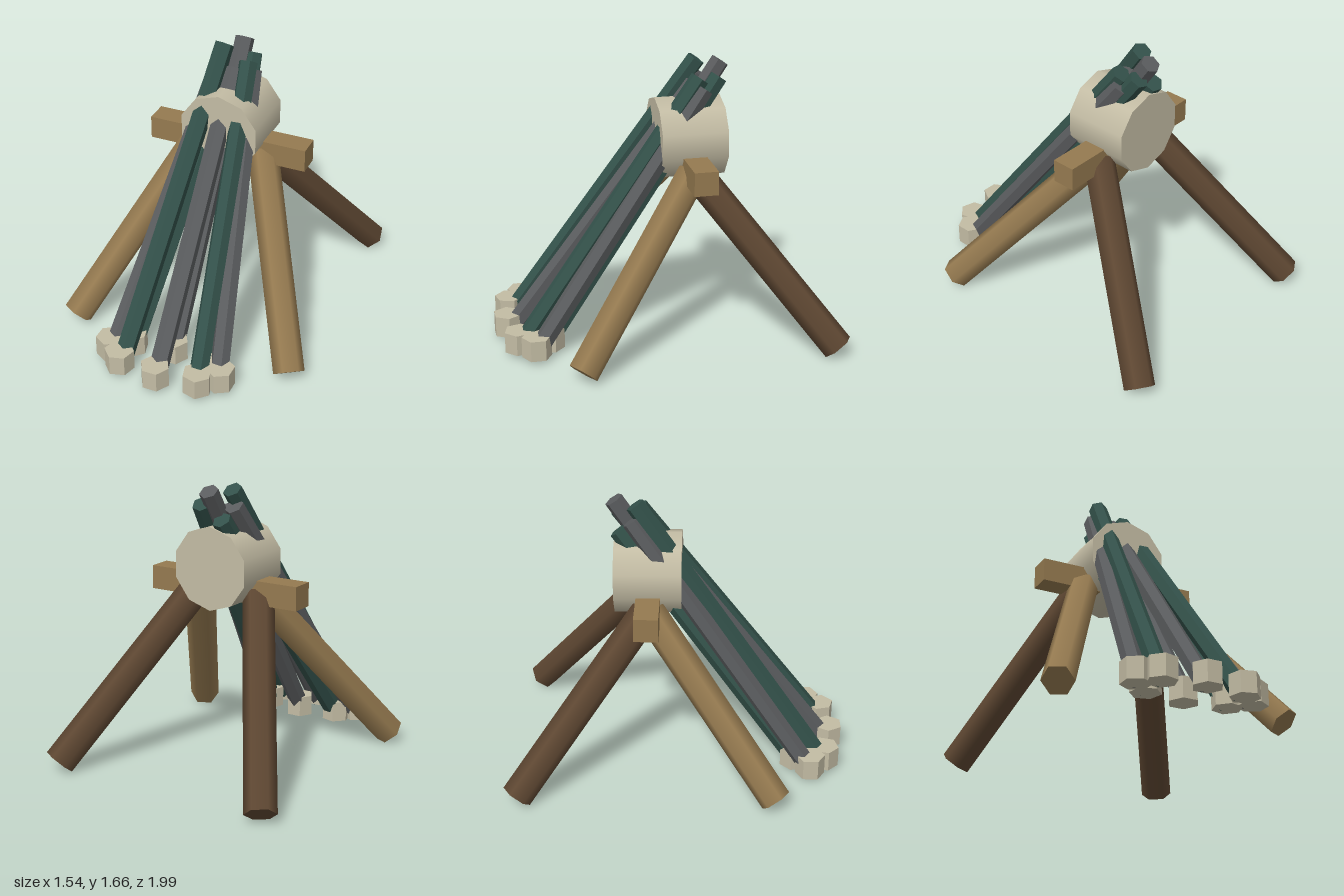
import * as THREE from 'three';

const material = (name, color, flatShading = false) => {
  const m = new THREE.MeshStandardMaterial({ color, flatShading });
  m.name = name;
  return m;
};

export function createModel() {
  const group = new THREE.Group();
  const wood = material('wood', 0x957a50);
  const darkWood = material('darkWood', 0x5e4732);
  const stone = material('paleStone', 0xc3bca4);
  const teal = material('darkTeal', 0x33514a, true);
  const gray = material('slateGray', 0x5a5c5e, true);

  const add = (name, geometry, mat, x = 0, y = 0, z = 0) => {
    const mesh = new THREE.Mesh(geometry, mat);
    mesh.name = name;
    mesh.position.set(x, y, z);
    group.add(mesh);
    return mesh;
  };

  // Six-sided bar from point a to point b, rolled about its own axis
  const bar = (name, a, b, radius, mat, roll = 0) => {
    const start = new THREE.Vector3(...a), end = new THREE.Vector3(...b);
    const dir = end.clone().sub(start);
    const geometry = new THREE.CylinderGeometry(radius, radius, dir.length(), 6);
    geometry.rotateY(roll);
    const mesh = add(name, geometry, mat);
    mesh.position.copy(start).add(end).multiplyScalar(0.5);
    mesh.quaternion.setFromUnitVectors(new THREE.Vector3(0, 1, 0), dir.normalize());
  };

  // Drum lying along z, and the crossbeam through it
  const drum = new THREE.CylinderGeometry(0.245, 0.245, 0.39, 10);
  drum.rotateX(Math.PI / 2);
  add('drum', drum, stone, 0, 1.195, -0.178);
  add('crossbeam', new THREE.BoxGeometry(0.99, 0.14, 0.14), wood, 0, 1.06, -0.175);

  // Four splayed legs, the back pair in darker wood
  for (const sx of [-1, 1]) {
    for (const sz of [-1, 1]) {
      bar(sz > 0 ? 'frontLeg' : 'backLeg',
        [sx * 0.69, 0.065, -0.175 + sz * 0.75],
        [sx * 0.21, 1.03, -0.175 + sz * 0.01], 0.092, sz > 0 ? wood : darkWood);
    }
  }

  // Eight pipes fanning from an oval of feet, starting at the front: upper end and roll
  const pipeTops = [
    [0, 1.51, -0.22, 0],
    [0.08, 1.56, -0.235, Math.PI / 6],
    [0.1, 1.5, -0.255, Math.PI / 6],
    [0.065, 1.56, -0.35, 0.3],
    [0, 1.64, -0.375, 0],
    [-0.065, 1.48, -0.345, 0.3],
    [-0.1, 1.55, -0.27, 0],
    [-0.075, 1.64, -0.25, 0],
  ];
  pipeTops.forEach(([x, y, z, roll], i) => {
    const angle = i * Math.PI / 4;
    const sin = Math.sin(angle), cos = Math.cos(angle);
    bar('pipe', [0.338 * sin, 0.06, 0.785 + 0.11 * cos], [x, y, z], 0.057, i % 2 ? teal : gray, roll);
    // Faceted foot block
    const foot = new THREE.CylinderGeometry(0.0875, 0.0875, 0.125, 6).toNonIndexed();
    foot.rotateY(angle + Math.PI / 6);
    foot.computeVertexNormals();
    add('pipeFoot', foot, stone, 0.35 * sin, 0.0925, 0.79 + 0.128 * cos);
  });

  return group;
}
